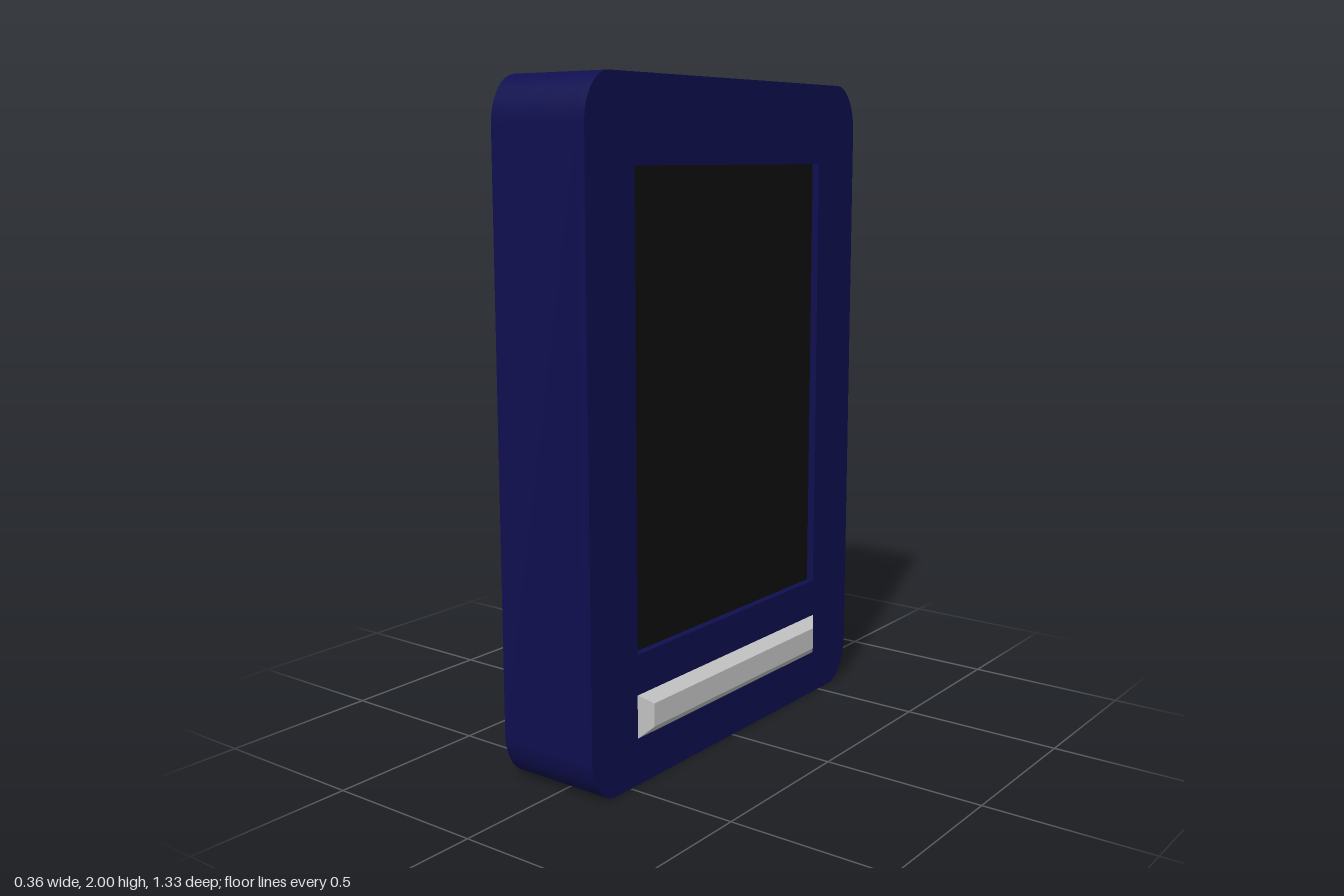
import * as THREE from 'three';

const navy = new THREE.MeshStandardMaterial({ color: 0x0f0f50 });
const black = new THREE.MeshStandardMaterial({ color: 0x0f0f0f });
const grey = new THREE.MeshStandardMaterial({ color: 0xcccccc, flatShading: true });

const BACK = -0.18, FACE = 0.15, RECESS = 0.025;
const SCREEN = { u0: -0.465, u1: 0.46, y0: 0.39, y1: 1.755 };

// Case outline with elliptical corners; u runs along -z
function caseOutline() {
  const w = 0.667, h = 2, ru = 0.1, ry = 0.14;
  const s = new THREE.Shape();
  s.moveTo(-w + ru, 0);
  const corner = (u, y, a) => s.absellipse(u, y, ru, ry, a, a + Math.PI / 2, false);
  corner(w - ru, ry, -Math.PI / 2);
  corner(w - ru, h - ry, 0);
  corner(-w + ru, h - ry, Math.PI / 2);
  corner(-w + ru, ry, Math.PI);
  return s;
}

// Extrude a (u, y) shape along x, starting at x0
function slab(shape, x0, depth) {
  return new THREE.ExtrudeGeometry(shape, { depth, bevelEnabled: false, curveSegments: 16 })
    .rotateY(Math.PI / 2)
    .translate(x0, 0, 0);
}

export function createModel() {
  const group = new THREE.Group();
  const add = (name, geometry, material) => {
    const mesh = new THREE.Mesh(geometry, material);
    mesh.name = name;
    group.add(mesh);
  };

  // Solid rear part of the case
  add('caseBack', slab(caseOutline(), BACK, FACE - RECESS - BACK), navy);

  // Front frame with the screen opening
  const { u0, u1, y0, y1 } = SCREEN;
  const frame = caseOutline();
  frame.holes.push(new THREE.Path([
    new THREE.Vector2(u0, y0), new THREE.Vector2(u0, y1),
    new THREE.Vector2(u1, y1), new THREE.Vector2(u1, y0),
  ]));
  add('frontFrame', slab(frame, FACE - RECESS, RECESS), navy);

  // Recessed screen
  const screen = new THREE.BoxGeometry(0.01, y1 - y0, u1 - u0);
  screen.translate(FACE - RECESS - 0.003, (y0 + y1) / 2, -(u0 + u1) / 2);
  add('screen', screen, black);

  // Button bar: a box whose outer face is drawn in to a bevel
  const bar = new THREE.BoxGeometry(0.028, 0.13, 0.93);
  const p = bar.attributes.position;
  for (let i = 0; i < p.count; i++) {
    if (p.getX(i) > 0) {
      p.setY(i, Math.sign(p.getY(i)) * 0.035);
      p.setZ(i, Math.sign(p.getZ(i)) * 0.423);
    }
  }
  bar.computeVertexNormals();
  bar.translate(FACE + 0.014, 0.205, 0.002);
  add('buttonBar', bar, grey);

  return group;
}
